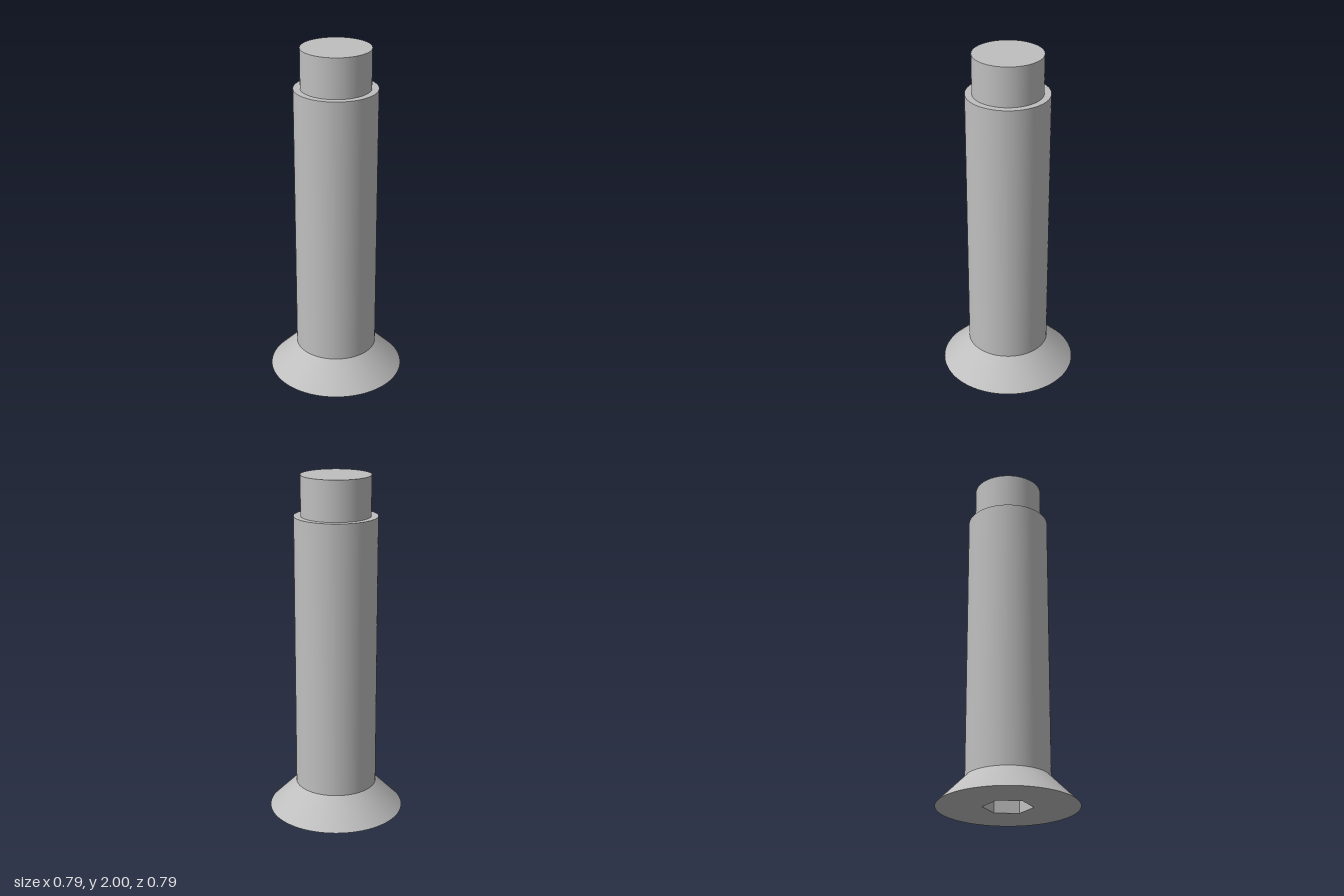
import * as THREE from 'three';

const SEG = 96;
const HEAD_R = 0.397, SHANK_R = 0.238, TIP_R = 0.199;
const HEAD_Y = 0.16, SHOULDER_Y = 1.77, TOP_Y = 2;
const SOCKET_R = 0.14, SOCKET_DEPTH = 0.2;

export function createModel() {
  const group = new THREE.Group();
  const steel = new THREE.MeshStandardMaterial({ color: 0xbfbfbf });
  steel.name = 'steel grey';

  const add = (name, geometry, y = 0) => {
    const mesh = new THREE.Mesh(geometry, steel);
    mesh.name = name;
    mesh.position.y = y;
    group.add(mesh);
  };
  // Open round wall between two heights
  const wall = (name, r0, r1, y0, y1) =>
    add(name, new THREE.CylinderGeometry(r1, r0, y1 - y0, SEG, 1, true), (y0 + y1) / 2);

  // Countersunk head, shank and narrower tip
  wall('headCone', HEAD_R, SHANK_R, 0, HEAD_Y);
  wall('shank', SHANK_R, SHANK_R, HEAD_Y, SHOULDER_Y);
  wall('tip', TIP_R, TIP_R, SHOULDER_Y, TOP_Y);
  add('shoulder', new THREE.RingGeometry(TIP_R, SHANK_R, SEG).rotateX(-Math.PI / 2), SHOULDER_Y);
  add('tipEnd', new THREE.CircleGeometry(TIP_R, SEG).rotateX(-Math.PI / 2), TOP_Y);

  // Flat head face with a hexagonal opening
  const face = new THREE.Shape().absarc(0, 0, HEAD_R, 0, Math.PI * 2);
  const hex = [];
  for (let i = 0; i < 6; i++) {
    const a = -i * Math.PI / 3;
    hex.push(new THREE.Vector2(SOCKET_R * Math.cos(a), SOCKET_R * Math.sin(a)));
  }
  face.holes.push(new THREE.Path(hex));
  add('headFace', new THREE.ShapeGeometry(face, SEG).rotateX(Math.PI / 2));

  // Socket walls, mirrored so they face inwards, and the socket floor
  const socket = new THREE.CylinderGeometry(SOCKET_R, SOCKET_R, SOCKET_DEPTH, 6, 1, true, Math.PI / 2)
    .scale(-1, 1, 1).toNonIndexed();
  socket.computeVertexNormals();
  add('socketWalls', socket, SOCKET_DEPTH / 2);
  add('socketFloor', new THREE.CircleGeometry(SOCKET_R, 6).rotateX(Math.PI / 2), SOCKET_DEPTH);

  return group;
}
